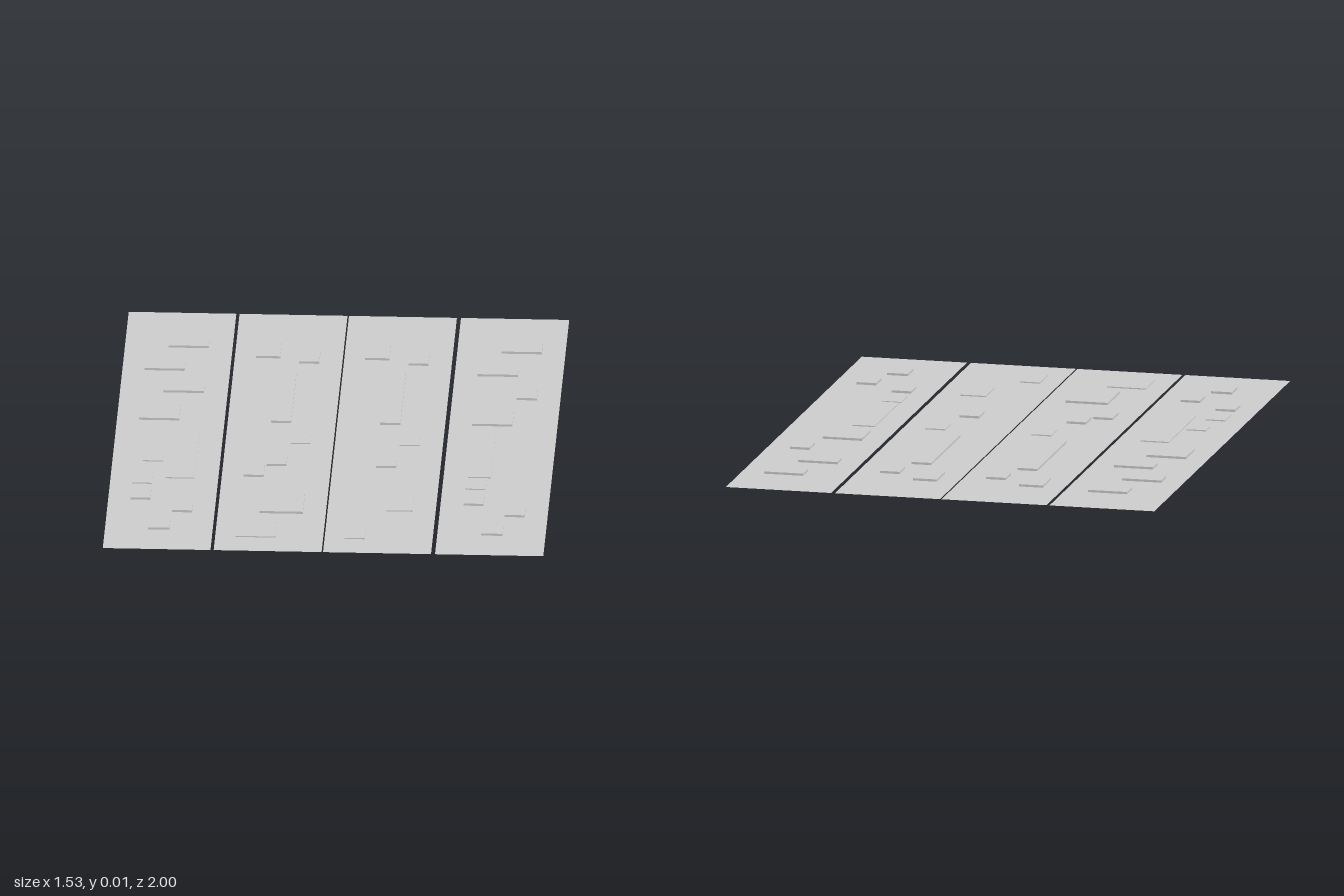
import * as THREE from 'three';

const LOW = 0.004, HIGH = 0.008;

// Each panel: x range, then raised blocks as [centre x, centre z, width, depth, height]
const panels = [
  { name: 'outerRightPanel', x0: -0.767, x1: -0.392, blocks: [
    [-0.545, -0.74, 0.14, 0.07, HIGH], [-0.62, -0.545, 0.14, 0.07, HIGH],
    [-0.545, -0.36, 0.14, 0.07, HIGH], [-0.62, -0.155, 0.14, 0.13, HIGH],
    [-0.525, 0.2, 0.1, 0.4, LOW], [-0.625, 0.23, 0.07, 0.06, LOW],
    [-0.655, 0.405, 0.07, 0.09, LOW], [-0.655, 0.545, 0.07, 0.08, HIGH],
    [-0.505, 0.645, 0.07, 0.08, HIGH], [-0.58, 0.795, 0.075, 0.08, HIGH],
  ] },
  { name: 'innerRightPanel', x0: -0.381, x1: -0.005, blocks: [
    [-0.265, -0.69, 0.085, 0.12, HIGH], [-0.12, -0.63, 0.07, 0.08, HIGH],
    [-0.195, -0.3, 0.07, 0.43, HIGH], [-0.12, 0.045, 0.07, 0.09, LOW],
    [-0.195, 0.24, 0.07, 0.08, HIGH], [-0.27, 0.33, 0.07, 0.09, HIGH],
    [-0.16, 0.59, 0.15, 0.18, HIGH], [-0.24, 0.82, 0.14, 0.13, LOW],
  ] },
  { name: 'innerLeftPanel', x0: 0, x1: 0.376, blocks: [
    [0.115, -0.69, 0.085, 0.12, HIGH], [0.26, -0.63, 0.07, 0.08, HIGH],
    [0.185, -0.3, 0.07, 0.43, HIGH], [0.26, 0.045, 0.07, 0.09, LOW],
    [0.187, 0.24, 0.07, 0.08, HIGH], [0.25, 0.58, 0.09, 0.13, LOW],
    [0.105, 0.82, 0.07, 0.13, LOW],
  ] },
  { name: 'outerLeftPanel', x0: 0.39, x1: 0.767, blocks: [
    [0.615, -0.74, 0.14, 0.07, HIGH], [0.54, -0.545, 0.14, 0.07, HIGH],
    [0.65, -0.355, 0.07, 0.08, HIGH], [0.54, -0.155, 0.14, 0.13, HIGH],
    [0.515, 0.17, 0.08, 0.36, LOW], [0.505, 0.405, 0.07, 0.09, LOW],
    [0.505, 0.545, 0.07, 0.08, HIGH], [0.652, 0.635, 0.07, 0.08, HIGH],
    [0.58, 0.795, 0.075, 0.08, HIGH],
  ] },
];

export function createModel() {
  const model = new THREE.Group();
  const material = new THREE.MeshStandardMaterial({
    color: 0xcccccc, flatShading: true, side: THREE.DoubleSide,
  });

  for (const { name, x0, x1, blocks } of panels) {
    const panel = new THREE.Group();
    panel.name = name;

    // Flat sheet lying on the ground
    const sheet = new THREE.Mesh(new THREE.PlaneGeometry(x1 - x0, 2).rotateX(-Math.PI / 2), material);
    sheet.name = 'sheet';
    sheet.position.x = (x0 + x1) / 2;
    panel.add(sheet);

    // Shallow raised blocks
    for (const [x, z, w, d, h] of blocks) {
      const block = new THREE.Mesh(new THREE.BoxGeometry(w, h, d), material);
      block.name = 'raisedBlock';
      block.position.set(x, h / 2, z);
      panel.add(block);
    }
    model.add(panel);
  }
  return model;
}
